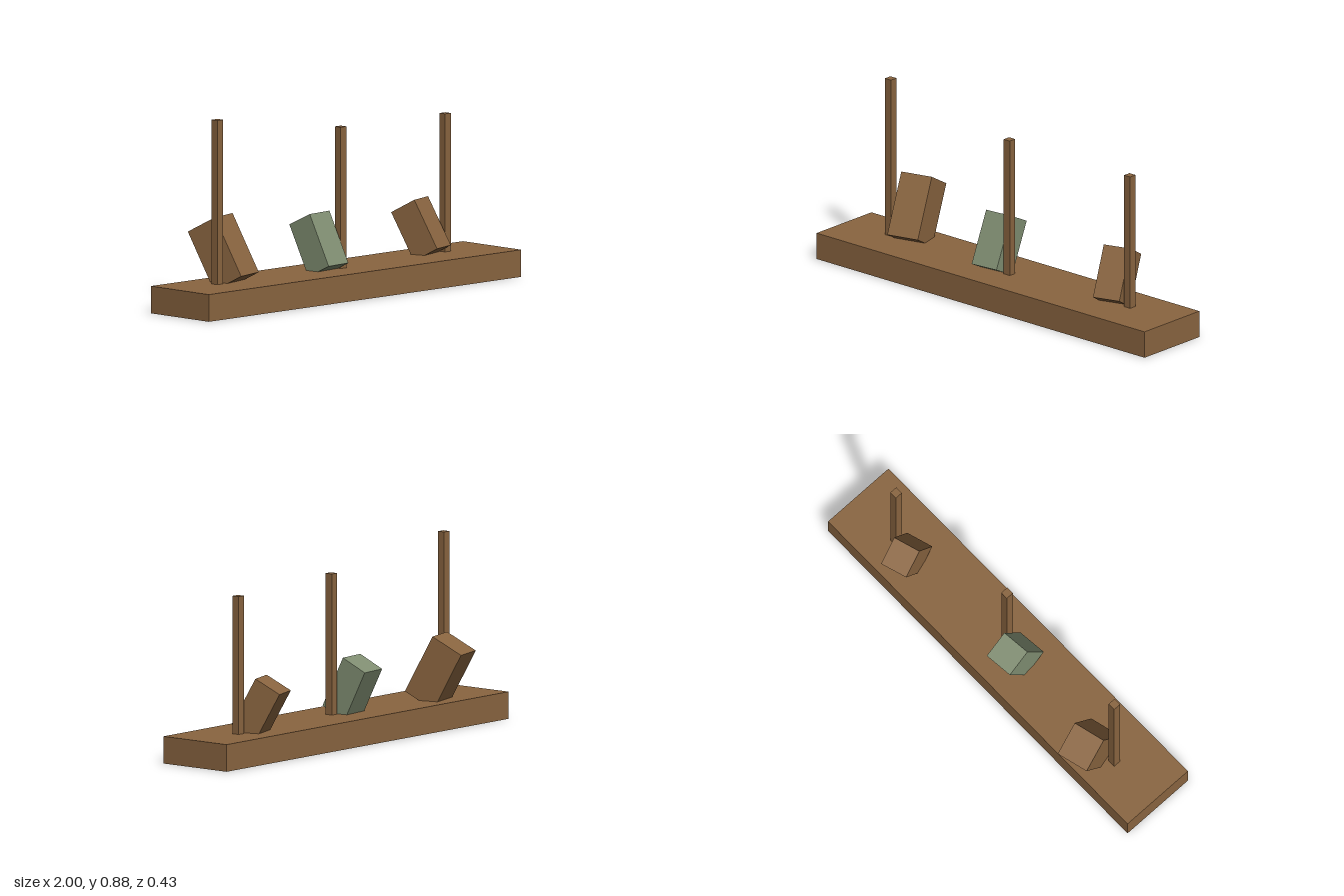
import * as THREE from 'three';

export function createModel() {
  const model = new THREE.Group();
  model.name = 'boardWithPostsAndBlocks';

  const brown = new THREE.MeshStandardMaterial({ color: 0x8a6540, side: THREE.DoubleSide });
  brown.name = 'woodBrown';
  const green = new THREE.MeshStandardMaterial({ color: 0x808e72, side: THREE.DoubleSide });
  green.name = 'dullGreen';

  function add(name, geometry, material, x, y, z) {
    const mesh = new THREE.Mesh(geometry, material);
    mesh.name = name;
    mesh.position.set(x, y, z);
    model.add(mesh);
    return mesh;
  }

  // Long base: a hollow box with its underside left open
  const baseGeo = new THREE.BoxGeometry(2, 0.125, 0.375);
  const faces = Array.from(baseGeo.index.array);
  faces.splice(18, 6);
  baseGeo.setIndex(faces);
  baseGeo.clearGroups();
  add('base', baseGeo, brown, 0, 0.0625, 0.0275);

  // Upright posts: centre x, centre z, top height
  const baseTop = 0.125;
  const posts = [
    ['rightPost', -0.736, 0.004, 0.88],
    ['middlePost', 0.019, 0.039, 0.775],
    ['leftPost', 0.722, 0.004, 0.76],
  ];
  for (const [name, x, z, top] of posts) {
    const height = top - baseTop;
    add(name, new THREE.BoxGeometry(0.037, height, 0.037), brown, x, baseTop + height / 2, z);
  }

  // Blocks leaning back, each placed by the middle of its top front edge
  const blocks = [
    { name: 'rightBlock', size: [0.156, 0.296, 0.163], at: [-0.634, 0.424, -0.058], yaw: 14.4, lean: 28, material: brown },
    { name: 'middleBlock', size: [0.14, 0.256, 0.134], at: [-0.08, 0.386, 0.002], yaw: 5.5, lean: 26, material: green },
    { name: 'leftBlock', size: [0.132, 0.247, 0.136], at: [0.608, 0.377, -0.036], yaw: 17, lean: 28.5, material: brown },
  ];
  for (const { name, size: [w, h, d], at, yaw, lean, material } of blocks) {
    const geometry = new THREE.BoxGeometry(w, h, d).translate(0, -h / 2, -d / 2);
    const block = add(name, geometry, material, ...at);
    block.rotation.set(THREE.MathUtils.degToRad(-lean), THREE.MathUtils.degToRad(yaw), 0, 'YXZ');
  }

  return model;
}
